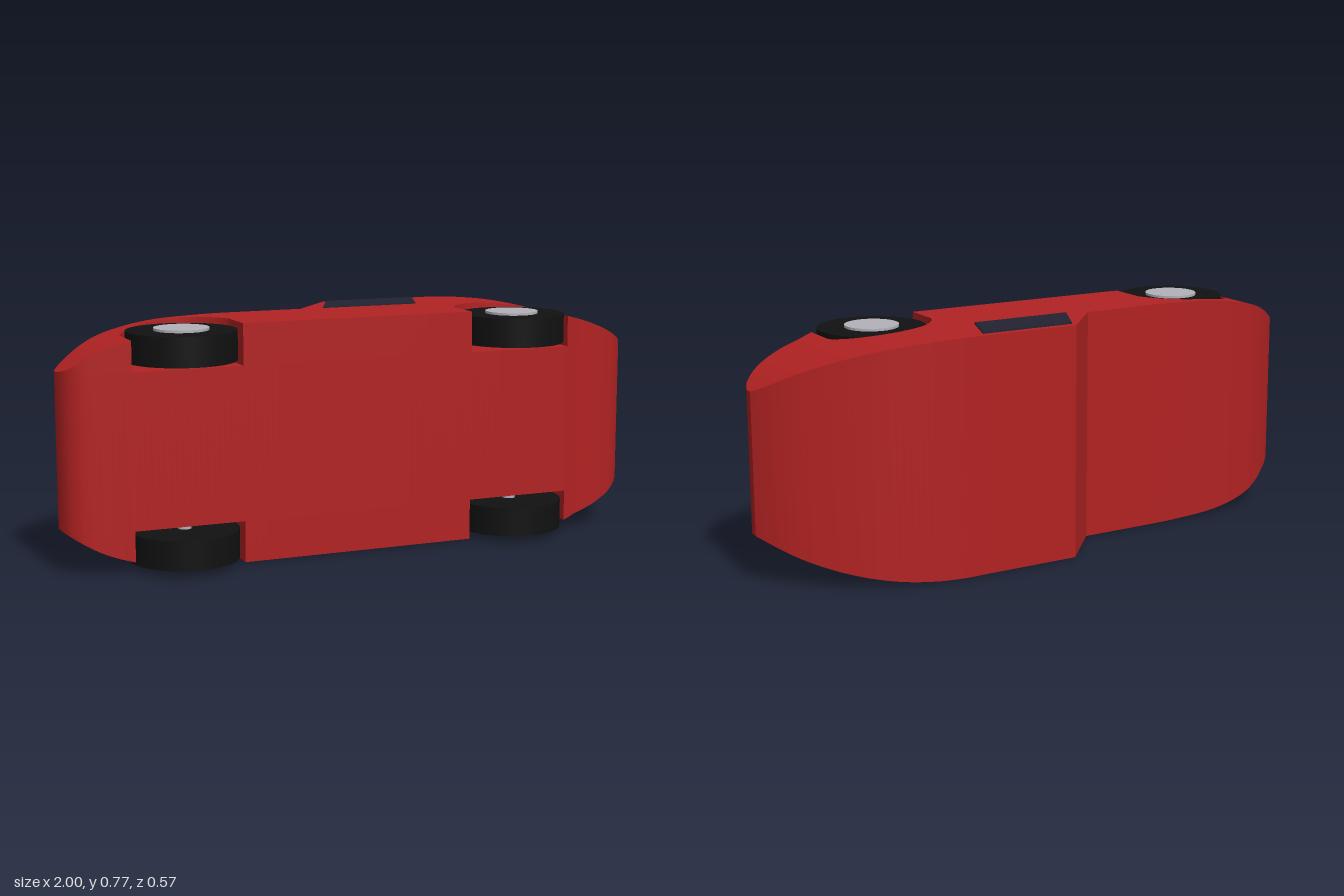
import * as THREE from 'three';
import { toCreasedNormals } from 'three/addons/utils/BufferGeometryUtils.js';

const MID = 0.386;            // centre plane of the car, which lies on its side
const CORE = 0.2475;          // half width between the wheel bays
const WHEELS = [-0.613, 0.537];
const AXLE_Z = 0.1125;
const ARCH_R = 0.19, ARCH_HALF = 0.179;

// smooth curve through points, looked up by x
function profile(...runs) {
  const pts = runs.flatMap(r =>
    new THREE.SplineCurve(r.map(p => new THREE.Vector2(...p))).getPoints(r.length > 2 ? 80 : 1));
  return x => {
    for (let i = 1; i < pts.length; i++) {
      const a = pts[i - 1], b = pts[i];
      if (x <= b.x && b.x > a.x) return THREE.MathUtils.lerp(a.y, b.y, Math.max(0, (x - a.x) / (b.x - a.x)));
    }
    return pts[pts.length - 1].y;
  };
}

// heights above the car's middle line (the car's up is -z)
const roof = profile(
  [[-1, -0.045], [-0.98, -0.018], [-0.93, 0.02], [-0.85, 0.065], [-0.76, 0.093], [-0.65, 0.107], [-0.4, 0.112], [-0.13, 0.114]],
  [[-0.13, 0.114], [0.02, 0.285]],
  [[0.02, 0.285], [0.36, 0.286]],
  [[0.36, 0.286], [0.43, 0.288], [0.55, 0.275], [0.68, 0.238], [0.8, 0.18], [0.9, 0.112], [0.96, 0.058], [1, 0.005]]);
const floor = profile(
  [[-1, -0.075], [-0.99, -0.11], [-0.965, -0.143], [-0.92, -0.16], [-0.85, -0.168], [-0.8, -0.178]],
  [[-0.8, -0.178], [0.715, -0.178]],
  [[0.715, -0.178], [0.77, -0.156]],
  [[0.77, -0.156], [0.85, -0.146], [0.93, -0.118], [0.98, -0.07], [1, -0.02]]);
const halfWidth = profile(
  [[-1, 0.2475], [-0.9, 0.307], [-0.8, 0.343], [-0.65, 0.37], [-0.5, 0.379], [-0.4, 0.381]],
  [[-0.4, 0.381], [0.4, 0.381]],
  [[0.4, 0.381], [0.52, 0.377], [0.65, 0.363], [0.78, 0.333], [0.9, 0.287], [1, 0.2275]]);

// lower edge of the flanks, raised over the wheels
function sill(x) {
  for (const c of WHEELS) {
    const d = Math.abs(x - c);
    if (d < ARCH_HALF) return Math.max(floor(x), -AXLE_Z + Math.sqrt(ARCH_R ** 2 - d ** 2));
  }
  return floor(x);
}

// body skin lofted through cross-sections along x
function bodyGeometry() {
  const xs = [-0.13, 0.02, 0.715, 0.77, -0.99, 0.99];
  for (let i = 0; i <= 100; i++) xs.push(-1 + i * 0.02);
  for (const c of WHEELS) for (const s of [-1, 1])
    for (const d of [0.0002, -0.0002, -0.004, -0.015]) xs.push(c + s * (ARCH_HALF + d));
  xs.sort((a, b) => a - b);

  const sections = xs.map(x => {
    const w = halfWidth(x), i = Math.min(w, CORE), t = roof(x), b = floor(x), a = sill(x);
    return [[w, t], [w, a], [i, a], [i, b], [-i, b], [-i, a], [-w, a], [-w, t]]
      .map(([y, u]) => new THREE.Vector3(x, MID + y, -u));
  });
  const out = [];
  const tri = (...v) => {
    if (new THREE.Triangle(...v).getArea() > 1e-9) v.forEach(p => out.push(p.x, p.y, p.z));
  };
  const quad = (a, b, c, d) => { tri(a, b, c); tri(a, c, d); };
  for (let s = 0; s + 1 < sections.length; s++) {
    const P = sections[s], Q = sections[s + 1];
    for (let j = 0; j < 8; j++) {
      const k = (j + 1) % 8;
      quad(P[j], P[k], Q[k], Q[j]);
    }
  }
  const F = sections[0], L = sections[sections.length - 1];
  quad(F[7], F[6], F[1], F[0]);
  quad(L[0], L[1], L[6], L[7]);
  const g = new THREE.BufferGeometry();
  g.setAttribute('position', new THREE.Float32BufferAttribute(out, 3));
  return toCreasedNormals(g, 0.45);
}

export function createModel() {
  const car = new THREE.Group();
  car.name = 'car';
  const material = (name, color) => {
    const m = new THREE.MeshStandardMaterial({ color });
    m.name = name;
    return m;
  };
  const red = material('red paint', 0xb22222);
  const rubber = material('black rubber', 0x111111);
  const metal = material('grey metal', 0xb4b2ba);
  const glass = material('dark glass', 0x222233);

  const add = (name, geometry, mat, x = 0, y = 0, z = 0) => {
    const m = new THREE.Mesh(geometry, mat);
    m.name = name;
    m.position.set(x, y, z);
    car.add(m);
  };

  add('body', bodyGeometry(), red);

  // side windows, thin plates on both flanks
  const pane = new THREE.Shape(
    [[-0.052, 0.105], [0.285, 0.105], [0.34, 0.26], [0.022, 0.26]].map(p => new THREE.Vector2(...p)));
  const paneGeometry = new THREE.ExtrudeGeometry(pane, { depth: 0.008, bevelEnabled: false }).rotateX(-Math.PI / 2);
  add('rightWindow', paneGeometry, glass, 0, 0, 0);
  add('leftWindow', paneGeometry, glass, 0, 2 * MID - 0.008, 0);

  // wheels, hubs and axles
  const tire = new THREE.CylinderGeometry(0.174, 0.174, 0.095, 48);
  const hub = new THREE.CylinderGeometry(0.087, 0.087, 0.02, 40);
  const axle = new THREE.CylinderGeometry(0.022, 0.022, 0.56, 20);
  WHEELS.forEach((x, i) => {
    const end = i ? 'rear' : 'front';
    add(end + 'Axle', axle, metal, x, MID, AXLE_Z);
    for (const s of [-1, 1]) {
      add(end + 'Tire', tire, rubber, x, MID + s * 0.3145, AXLE_Z);
      add(end + 'Hub', hub, metal, x, MID + s * 0.36, AXLE_Z);
    }
  });
  return car;
}
